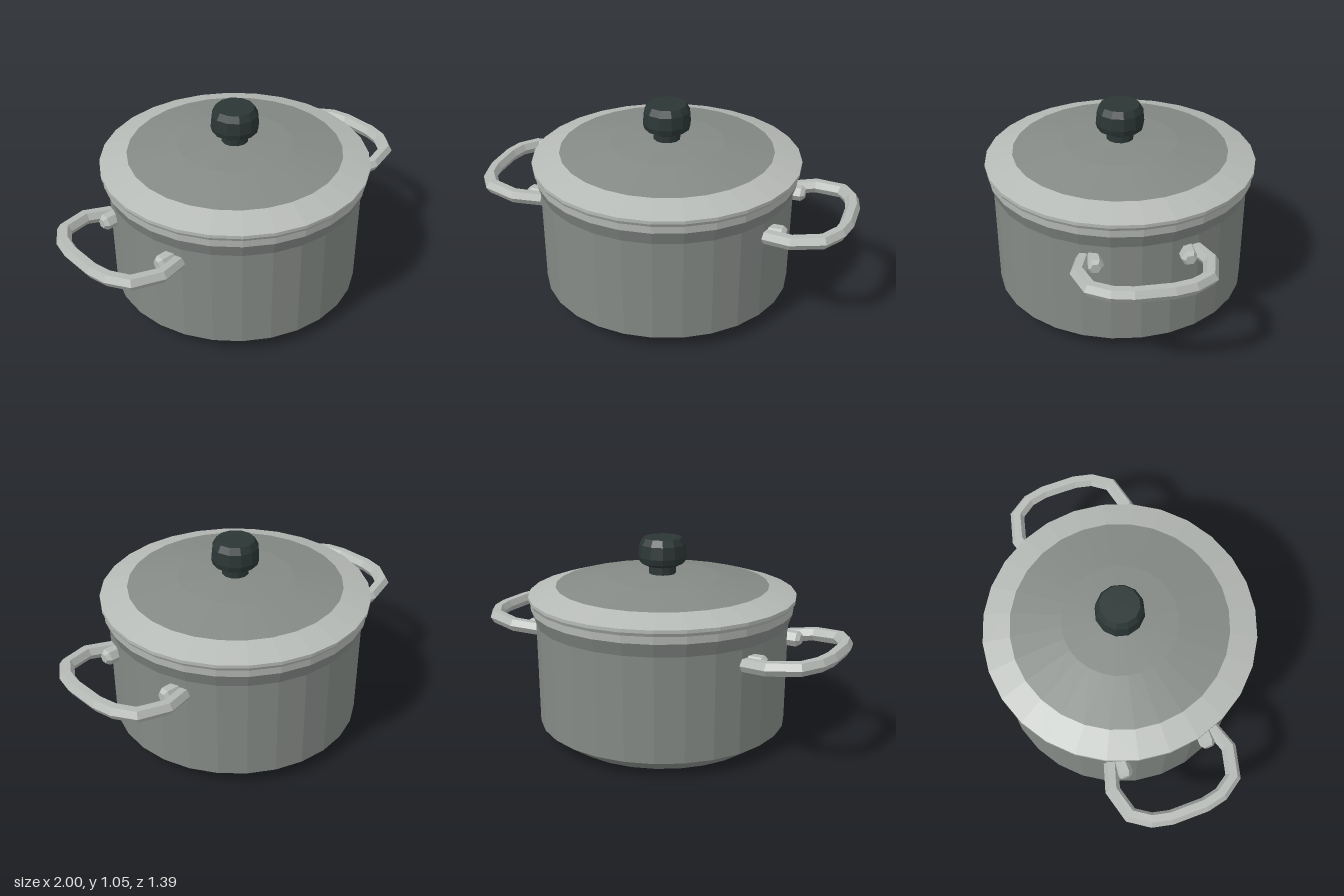
import * as THREE from 'three';

const material = (name, color) => {
  const m = new THREE.MeshStandardMaterial({ color, flatShading: true });
  m.name = name;
  return m;
};

// Faceted solid of revolution from [radius, height] pairs, listed bottom to top
function turned(name, profile, sides, mat) {
  const points = profile.map(([r, y]) => new THREE.Vector2(r, y));
  const mesh = new THREE.Mesh(new THREE.LatheGeometry(points, sides), mat);
  mesh.name = name;
  return mesh;
}

// Six-sided bar with mitred corners along a path, closed at both ends
function barGeometry(path, radius) {
  const sides = 6, n = path.length;
  const up = new THREE.Vector3(0, 1, 0);
  const positions = [], index = [];
  path.forEach((p, i) => {
    const before = p.clone().sub(path[Math.max(i - 1, 0)]).normalize();
    const after = path[Math.min(i + 1, n - 1)].clone().sub(p).normalize();
    const tangent = before.clone().add(after).normalize();
    const mitre = i > 0 && i < n - 1 ? 1 / tangent.dot(after) : 1;
    const side = tangent.clone().cross(up).normalize();
    for (let j = 0; j < sides; j++) {
      const a = (j / sides) * Math.PI * 2;
      const v = p.clone()
        .addScaledVector(side, Math.cos(a) * radius * mitre)
        .addScaledVector(up, Math.sin(a) * radius);
      positions.push(v.x, v.y, v.z);
    }
  });
  for (let i = 0; i < n - 1; i++) {
    for (let j = 0; j < sides; j++) {
      const k = (j + 1) % sides;
      const a = i * sides + j, b = a + sides, c = i * sides + k, d = c + sides;
      index.push(a, b, c, b, d, c);
    }
  }
  const last = (n - 1) * sides;
  for (let j = 1; j < sides - 1; j++) {
    index.push(0, j, j + 1, last, last + j + 1, last + j);
  }
  const geometry = new THREE.BufferGeometry();
  geometry.setAttribute('position', new THREE.Float32BufferAttribute(positions, 3));
  geometry.setIndex(index);
  geometry.computeVertexNormals();
  return geometry;
}

export function createModel() {
  const steel = material('brushed steel', 0x858a86);
  const bright = material('polished steel', 0xb6bab6);
  const black = material('black plastic', 0x2b3635);
  const group = new THREE.Group();
  group.name = 'cookingPot';

  // Pot body with chamfered base and flared neck
  group.add(turned('potBody', [[0, 0], [0.54, 0], [0.655, 0.08], [0.66, 0.62], [0.685, 0.69]], 28, steel));
  group.add(turned('potRim', [[0.685, 0.69], [0.688, 0.728], [0.6, 0.728]], 28, bright));

  // Lid: polished edge around a shallow dome
  group.add(turned('lidEdge', [[0.6, 0.728], [0.688, 0.728], [0.697, 0.745], [0.697, 0.762], [0.555, 0.806]], 28, bright));
  group.add(turned('lidDome', [[0.555, 0.806], [0.295, 0.85], [0.07, 0.862], [0, 0.862]], 28, steel));

  // Knob on a short neck
  group.add(turned('knob', [
    [0.07, 0.855], [0.07, 0.905], [0.085, 0.905], [0.117, 0.922],
    [0.125, 0.952], [0.119, 1.016], [0.1, 1.05], [0, 1.05],
  ], 12, black));

  // Loop handles, each with two rivets
  const half = [[0.6, 0.541, 0.272], [0.735, 0.556, 0.313], [0.882, 0.568, 0.274], [0.943, 0.573, 0.185], [0.964, 0.574, 0.09]]
    .map((p) => new THREE.Vector3(...p));
  const path = [...half, ...half.map((p) => new THREE.Vector3(p.x, p.y, -p.z)).reverse()];
  const loop = barGeometry(path, 0.037);
  for (const [name, turn] of [['leftHandle', 0], ['rightHandle', Math.PI]]) {
    const handle = new THREE.Group();
    handle.name = name;
    const bar = new THREE.Mesh(loop, bright);
    bar.name = 'handleBar';
    handle.add(bar);
    for (const s of [-1, 1]) {
      const rivet = turned('rivet', [[0.042, 0], [0.042, 0.075], [0.026, 0.095], [0, 0.095]], 6, bright);
      rivet.rotation.z = -Math.PI / 2;
      rivet.rotation.y = 0;
      rivet.position.set(0.6, 0.543, s * 0.225);
      handle.add(rivet);
    }
    handle.rotation.y = turn;
    group.add(handle);
  }
  return group;
}
